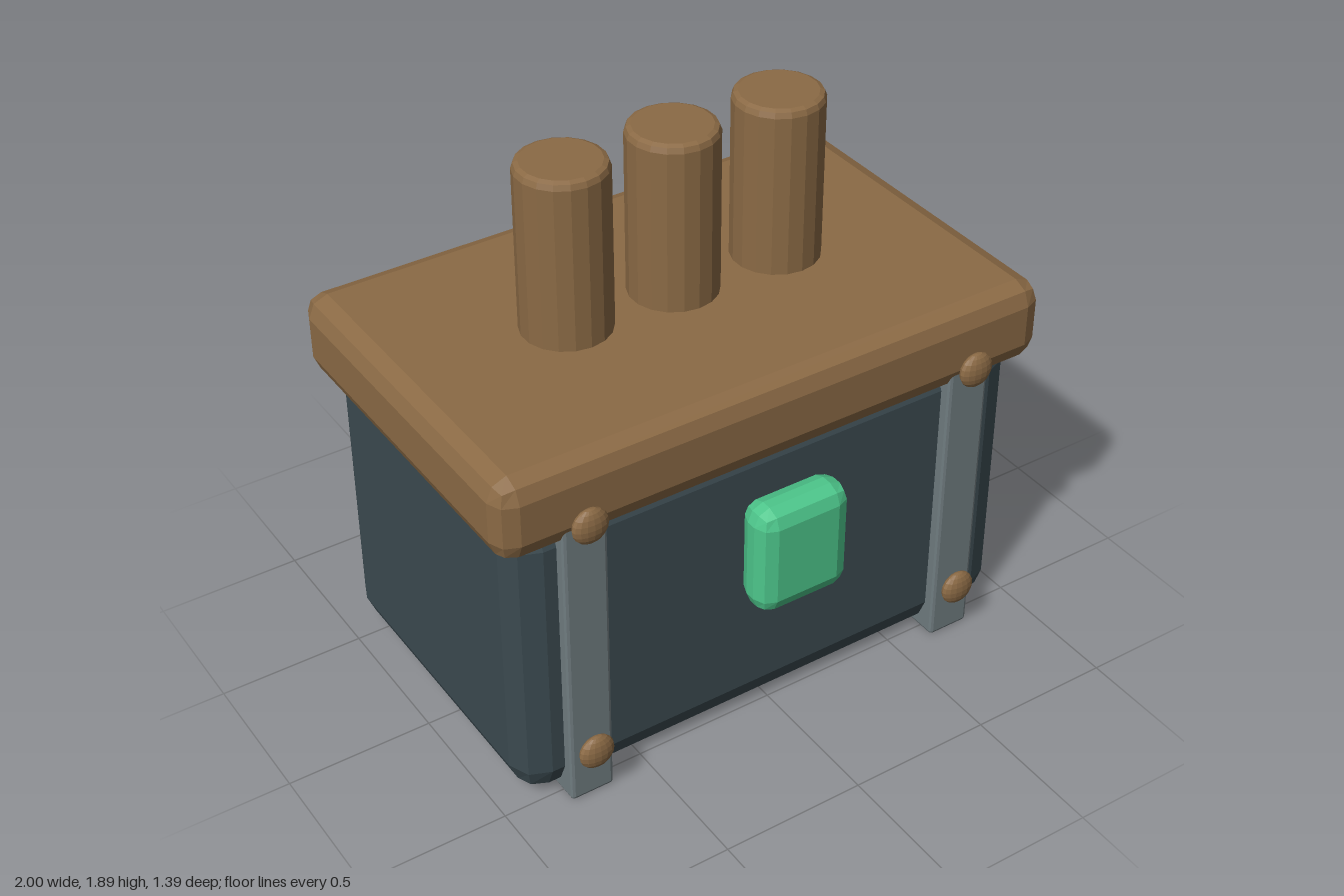
import * as THREE from 'three';
import { RoundedBoxGeometry } from 'three/addons/geometries/RoundedBoxGeometry.js';

export function createModel() {
  const group = new THREE.Group();
  const material = (name, color) => {
    const m = new THREE.MeshStandardMaterial({ color, flatShading: true });
    m.name = name;
    return m;
  };
  const wood = material('brown', 0x8b6a45);
  const slate = material('dark slate', 0x3b4a50);
  const metal = material('grey metal', 0x707c80);
  const green = material('green', 0x4dc68b);

  const add = (name, geometry, mat, x, y, z) => {
    const mesh = new THREE.Mesh(geometry, mat);
    mesh.name = name;
    mesh.position.set(x, y, z);
    group.add(mesh);
    return mesh;
  };

  // Box given by its extents, with a two-step bevel
  const bevelBox = (name, mat, [x0, x1], [y0, y1], [z0, z1], bevel) =>
    add(name, new RoundedBoxGeometry(x1 - x0, y1 - y0, z1 - z0, 1, bevel), mat,
      (x0 + x1) / 2, (y0 + y1) / 2, (z0 + z1) / 2);

  // Chest and lid
  bevelBox('body', slate, [-0.935, 0.935], [0.02, 1.1], [-0.645, 0.522], 0.1);
  bevelBox('lid', wood, [-1, 1], [1.025, 1.308], [-0.695, 0.57], 0.07);

  // Green clasp
  bevelBox('clasp', green, [-0.168, 0.168], [0.54, 0.93], [0.55, 0.695], 0.055);

  // Straps around the body, each with two flattened rivets
  for (const side of [-1, 1]) {
    const x = side * 0.714;
    bevelBox('strap', metal, [x - 0.077, x + 0.077], [0, 1.1], [-0.682, 0.562], 0.012);
    for (const y of [0.2, 1.093]) {
      const rivet = add('rivet', new THREE.SphereGeometry(0.062, 16, 10), wood, x, y, 0.59);
      rivet.scale.z = 0.47;
    }
  }

  // Three posts with bevelled rims standing on the lid
  const r = 0.15;
  const profile = [[0, 0], [r, 0], [r, 0.605], [r - 0.007, 0.623], [r - 0.022, 0.63], [0, 0.63]]
    .map(([px, py]) => new THREE.Vector2(px, py));
  for (const x of [-0.393, 0, 0.393]) {
    add('post', new THREE.LatheGeometry(profile, 18), wood, x, 1.263, -0.062);
  }

  return group;
}
